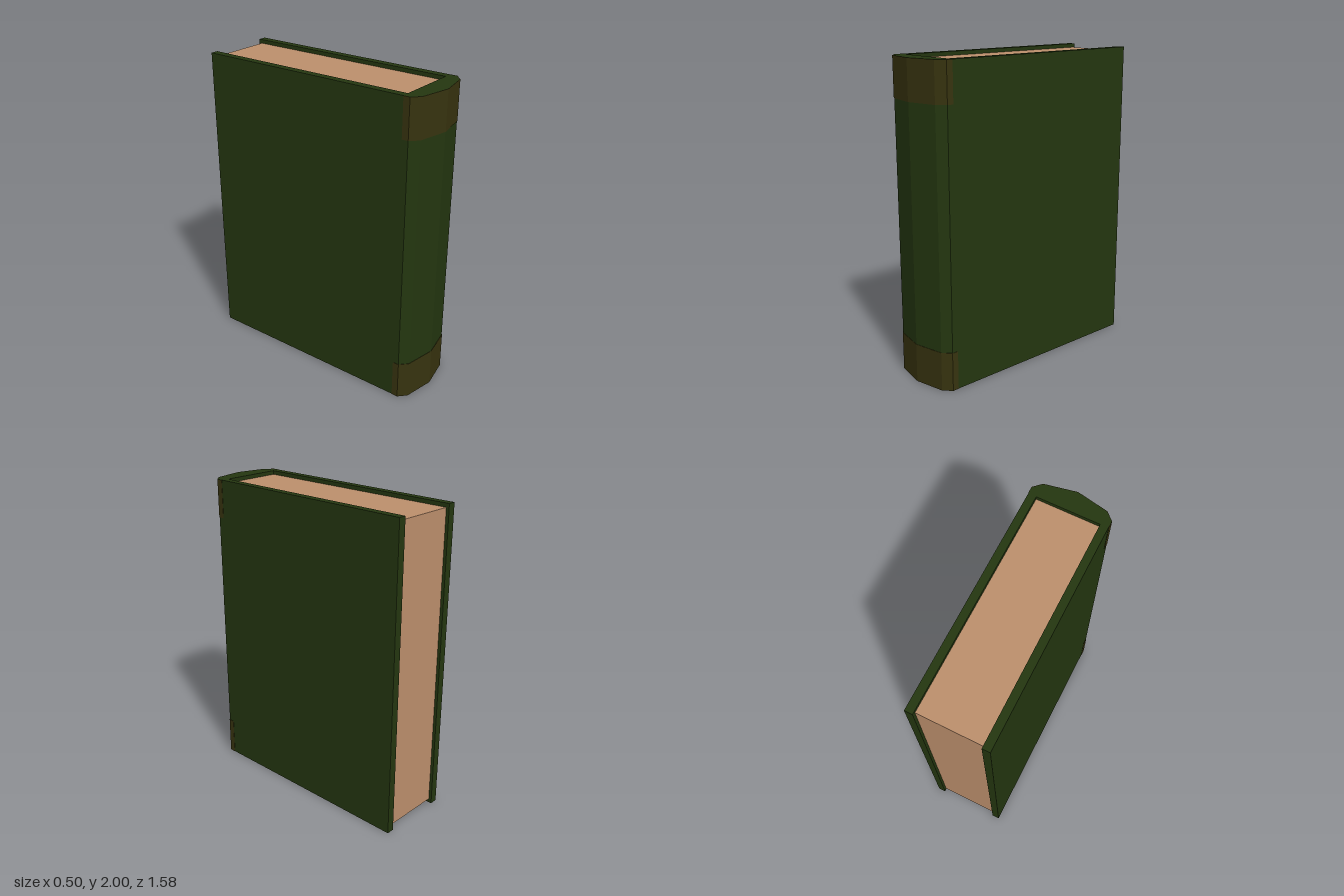
import * as THREE from 'three';

const mat = (name, color) => {
  const m = new THREE.MeshStandardMaterial({ color });
  m.name = name;
  return m;
};

// Extrude an outline given as [x, z] points vertically from y0 to y1
function upright(name, points, y0, y1, material) {
  const shape = new THREE.Shape(points.map(([x, z]) => new THREE.Vector2(x, z)));
  const geo = new THREE.ExtrudeGeometry(shape, { depth: y1 - y0, bevelEnabled: false });
  geo.rotateX(Math.PI / 2);
  geo.translate(0, y1, 0);
  const mesh = new THREE.Mesh(geo, material);
  mesh.name = name;
  return mesh;
}

export function createModel() {
  const book = new THREE.Group();
  book.name = 'book';

  const green = mat('cover green', 0x243610);
  const brown = mat('band brown', 0x37330f);
  const paper = mat('paper', 0xbc8f6c);

  // Cover: two boards joined by a faceted spine
  const spine = [[0.25, 0.7], [0.2, 0.748], [0, 0.788], [-0.2, 0.748], [-0.25, 0.7]];
  book.add(upright('cover', [
    [0.2, -0.79], [0.25, -0.79], ...spine, [-0.25, -0.79], [-0.2, -0.79],
    [-0.2, 0.655], [0.2, 0.655],
  ], 0, 2, green));

  // Thin bands wrapped around both ends of the spine
  const t = 0.002;
  const inner = [[0.25, 0.66], ...spine, [-0.25, 0.66]];
  const outer = inner.map(([x, z]) => [x + Math.sign(x) * t, z > 0.66 ? z + t : z]);
  const wrap = [...outer, ...inner.reverse()];
  book.add(upright('lowerBand', wrap, 0, 0.25, brown));
  book.add(upright('upperBand', wrap, 1.75, 2, brown));

  // Page block, set in from the cover edges
  const pages = new THREE.Mesh(new THREE.BoxGeometry(0.4, 1.95, 1.425), paper);
  pages.name = 'pages';
  pages.position.set(0, 1, -0.0575);
  book.add(pages);

  return book;
}
